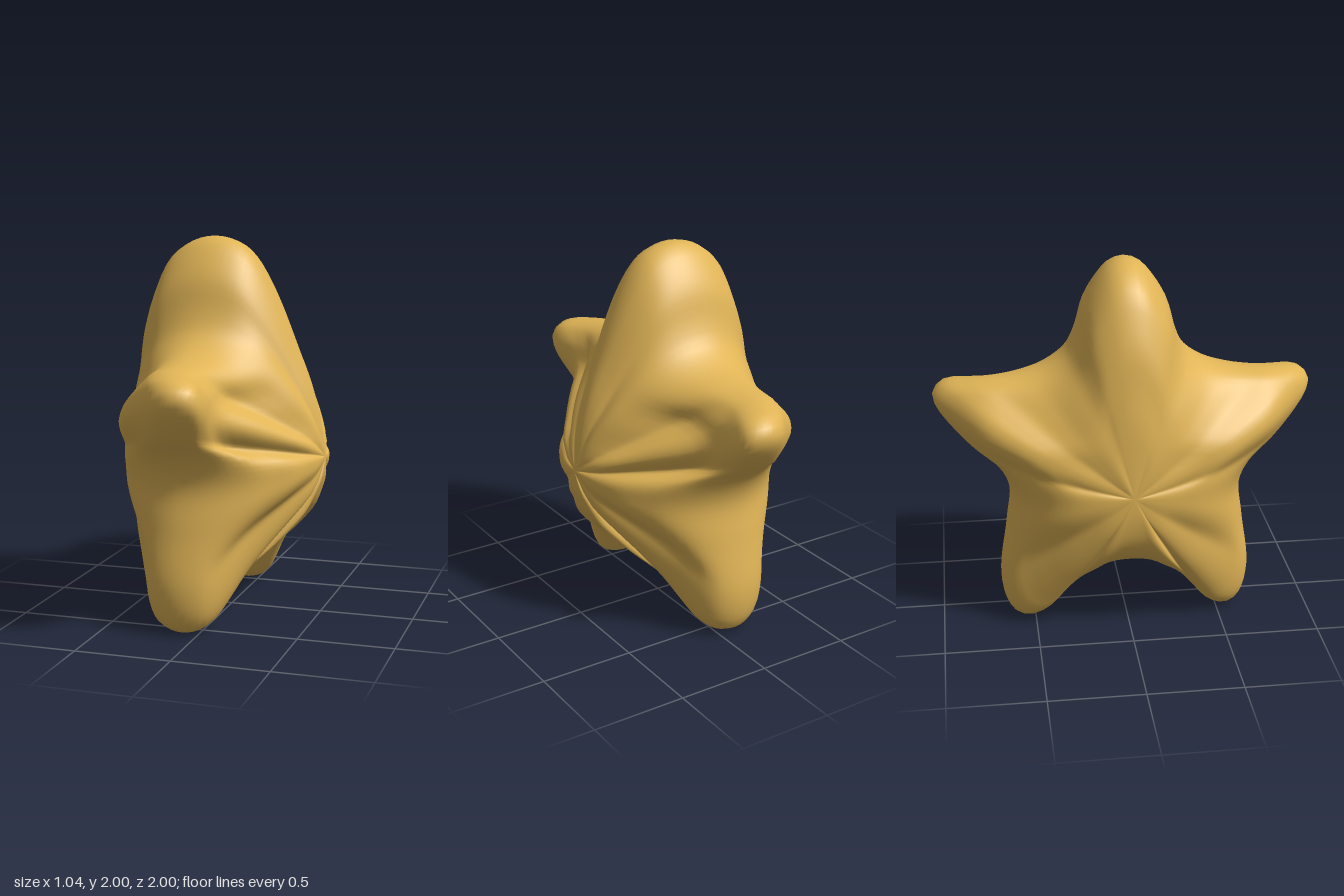
import * as THREE from 'three';

// Half outline of the star as [z, y], from the top tip down to the crotch
const OUTLINE = [
  [0, 2], [0.07, 1.98], [0.13, 1.92], [0.21, 1.79], [0.26, 1.62], [0.31, 1.52], [0.42, 1.44],
  [0.57, 1.395], [0.83, 1.365], [0.95, 1.34], [1, 1.28], [0.985, 1.21], [0.86, 1.06], [0.69, 0.92],
  [0.62, 0.77], [0.64, 0.55], [0.68, 0.25], [0.655, 0.09], [0.61, 0.02], [0.55, 0], [0.47, 0.03],
  [0.43, 0.07], [0.3, 0.23], [0.22, 0.28], [0.13, 0.325], [0, 0.34],
];
const CENTRE_Y = 0.85;

// Thickness on each side of the rim plane, from the centre (0) out to the rim (1)
const STEPS = [0, 0.2, 0.35, 0.5, 0.65, 0.8, 0.9, 0.96, 1].map(Math.asin);
const profile = (values) => {
  const spline = new THREE.CubicInterpolant(STEPS, values, 1, [0]);
  return (u) => spline.evaluate(u)[0];
};
const PROFILES = {
  top: [
    profile([0.61, 0.57, 0.52, 0.45, 0.38, 0.30, 0.23, 0.16, 0]),
    profile([0.43, 0.42, 0.41, 0.385, 0.36, 0.30, 0.24, 0.16, 0]),
  ],
  hand: [
    profile([0.61, 0.56, 0.46, 0.35, 0.23, 0.19, 0.15, 0.11, 0]),
    profile([0.43, 0.41, 0.385, 0.36, 0.29, 0.20, 0.14, 0.10, 0]),
  ],
  leg: [
    profile([0.61, 0.57, 0.48, 0.38, 0.29, 0.22, 0.17, 0.12, 0]),
    profile([0.43, 0.42, 0.38, 0.33, 0.27, 0.21, 0.17, 0.12, 0]),
  ],
  valley: [
    profile([0.61, 0.60, 0.57, 0.53, 0.46, 0.37, 0.27, 0.17, 0]),
    profile([0.43, 0.43, 0.42, 0.40, 0.36, 0.29, 0.21, 0.13, 0]),
  ],
};

const { smoothstep, lerp } = THREE.MathUtils;

// Thickness along one ray: arms blend by angle, valleys by the ray's short length
function thickness(side, u, angle, radius) {
  const toHand = smoothstep(angle, 25, 42);
  const toLeg = smoothstep(angle, 86, 108);
  const upper = lerp(PROFILES.top[side](u), PROFILES.hand[side](u), toHand);
  const arm = lerp(upper, PROFILES.leg[side](u), toLeg);
  return lerp(PROFILES.valley[side](u), arm, smoothstep(radius, 0.6, 0.9));
}

function starGeometry(around = 160, rings = 22) {
  // Mirror the half outline into a closed smooth rim
  const mirrored = OUTLINE.slice(1, -1).reverse().map(([z, y]) => [-z, y]);
  const rim = new THREE.CatmullRomCurve3(
    [...OUTLINE, ...mirrored].map(([z, y]) => new THREE.Vector3(0, y, z)), true, 'centripetal',
  ).getSpacedPoints(around).slice(0, around);

  const positions = [0.52, CENTRE_Y, 0];
  const index = [];
  const rows = rings * 2 - 1;

  // Rings run from the left face, over the rim, to the right face
  for (let i = 1; i <= rows; i++) {
    const side = i <= rings ? 0 : 1;
    const u = (Math.PI / 2) * (side === 0 ? i : 2 * rings - i) / rings;
    const t = Math.sin(u);
    for (const p of rim) {
      const dy = p.y - CENTRE_Y;
      const radius = Math.hypot(dy, p.z);
      const angle = THREE.MathUtils.radToDeg(Math.atan2(Math.abs(p.z), dy));
      const z = p.z * t;
      // The side arms curl towards +x at their tips
      const mid = -0.09 + 0.09 * smoothstep(Math.abs(z), 0.7, 1);
      const depth = i === rings ? 0 : thickness(side, u, angle, radius);
      positions.push(mid + (side === 0 ? depth : -depth), CENTRE_Y + dy * t, z);
    }
  }
  positions.push(-0.52, CENTRE_Y, 0);

  const last = rows * around + 1;
  const at = (i, j) => 1 + i * around + (j % around);
  for (let j = 0; j < around; j++) {
    index.push(0, at(0, j), at(0, j + 1));
    for (let i = 0; i < rows - 1; i++) {
      const a = at(i, j), b = at(i + 1, j), c = at(i + 1, j + 1), d = at(i, j + 1);
      index.push(a, b, c, a, c, d);
    }
    index.push(at(rows - 1, j), last, at(rows - 1, j + 1));
  }

  const geometry = new THREE.BufferGeometry();
  geometry.setAttribute('position', new THREE.Float32BufferAttribute(positions, 3));
  geometry.setIndex(index);
  geometry.computeVertexNormals();
  return geometry;
}

export function createModel() {
  const group = new THREE.Group();
  group.name = 'star';
  const body = new THREE.Mesh(
    starGeometry(),
    new THREE.MeshStandardMaterial({ color: 0xe0b456 }),
  );
  body.name = 'starBody';
  group.add(body);
  return group;
}
